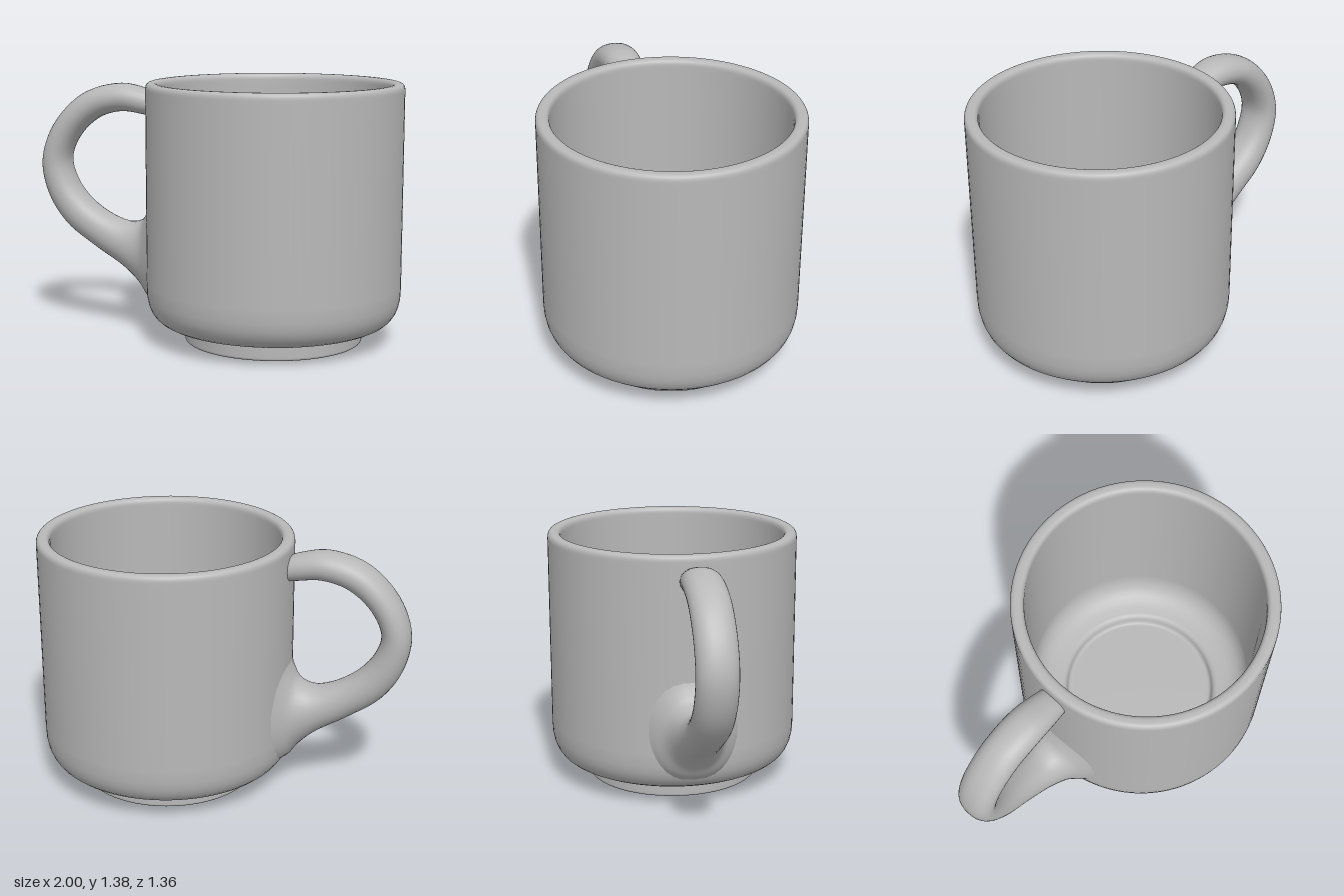
import * as THREE from 'three';

const clay = new THREE.MeshStandardMaterial({ color: 0xb8b8b8 });
clay.name = 'grey clay';

// Mug wall: one closed profile, from the centre of the base round to the inside floor
function createBody() {
  const p = new THREE.Path();
  p.moveTo(0, 0.003);
  p.lineTo(0.44, 0.003);
  p.lineTo(0.455, 0.003);
  p.quadraticCurveTo(0.475, 0.003, 0.475, 0.02); // foot edge
  p.lineTo(0.475, 0.035);
  p.lineTo(0.475, 0.075);
  p.quadraticCurveTo(0.475, 0.086, 0.487, 0.087);
  p.lineTo(0.5, 0.088);
  p.bezierCurveTo(0.62, 0.1, 0.68, 0.15, 0.68, 0.3); // rounded underside
  p.lineTo(0.68, 0.32);
  p.lineTo(0.68, 1.33);
  p.lineTo(0.68, 1.35);
  p.quadraticCurveTo(0.68, 1.385, 0.65, 1.385); // rim
  p.lineTo(0.64, 1.385);
  p.quadraticCurveTo(0.61, 1.385, 0.61, 1.35);
  p.lineTo(0.61, 1.33);
  p.lineTo(0.61, 0.34);
  p.bezierCurveTo(0.61, 0.22, 0.55, 0.175, 0.45, 0.16); // inner bowl
  p.quadraticCurveTo(0.425, 0.155, 0.42, 0.13); // sunken floor
  p.quadraticCurveTo(0.415, 0.1, 0.395, 0.1);
  p.lineTo(0.38, 0.1);
  p.lineTo(0, 0.1);
  const body = new THREE.Mesh(new THREE.LatheGeometry(p.getPoints(8), 96), clay);
  body.name = 'cupBody';
  body.position.x = 0.32;
  return body;
}

// Handle: oval sections between an outer and an inner edge, flaring into the wall
function createHandle() {
  // outer x, outer y, inner x, inner y, half width, bend round the wall
  const rows = [
    [-0.32, 1.305, -0.32, 1.18, 0.075, 0],
    [-0.40, 1.335, -0.40, 1.193, 0.088, 0],
    [-0.55, 1.36, -0.53, 1.208, 0.103, 0],
    [-0.76, 1.30, -0.67, 1.17, 0.106, 0],
    [-0.93, 1.13, -0.79, 1.065, 0.107, 0],
    [-1.00, 0.93, -0.845, 0.94, 0.107, 0],
    [-0.965, 0.74, -0.815, 0.825, 0.107, 0],
    [-0.86, 0.58, -0.735, 0.72, 0.107, 0],
    [-0.69, 0.455, -0.61, 0.635, 0.107, 0],
    [-0.52, 0.35, -0.49, 0.60, 0.125, 0],
    [-0.425, 0.265, -0.412, 0.625, 0.16, 0.015],
    [-0.375, 0.20, -0.375, 0.68, 0.215, 0.035],
    [-0.32, 0.16, -0.345, 0.76, 0.285, 0.06],
  ];
  const spline = (a, b, c) => new THREE.CatmullRomCurve3(
    rows.map(r => new THREE.Vector3(r[a], r[b], c < 0 ? 0 : r[c])));
  const outer = spline(0, 1, 4), inner = spline(2, 3, 5);
  const steps = 72, sides = 32, pos = [], index = [];
  for (let i = 0; i <= steps; i++) {
    const o = outer.getPoint(i / steps), n = inner.getPoint(i / steps);
    for (let j = 0; j < sides; j++) {
      const a = j / sides * Math.PI * 2;
      const c = Math.cos(a), s = Math.sin(a);
      const w = Math.sign(s) * Math.pow(Math.abs(s), 0.85);
      pos.push(
        (o.x + n.x) / 2 + (o.x - n.x) / 2 * c + n.z * s * s,
        (o.y + n.y) / 2 + (o.y - n.y) / 2 * c,
        o.z * w);
      if (i < steps) {
        const k = i * sides + j, m = i * sides + (j + 1) % sides;
        index.push(k, k + sides, m, m, k + sides, m + sides);
      }
    }
  }
  const g = new THREE.BufferGeometry();
  g.setAttribute('position', new THREE.Float32BufferAttribute(pos, 3));
  g.setIndex(index);
  g.computeVertexNormals();
  const handle = new THREE.Mesh(g, clay);
  handle.name = 'handle';
  return handle;
}

export function createModel() {
  const mug = new THREE.Group();
  mug.name = 'mug';
  mug.add(createBody(), createHandle());
  return mug;
}
